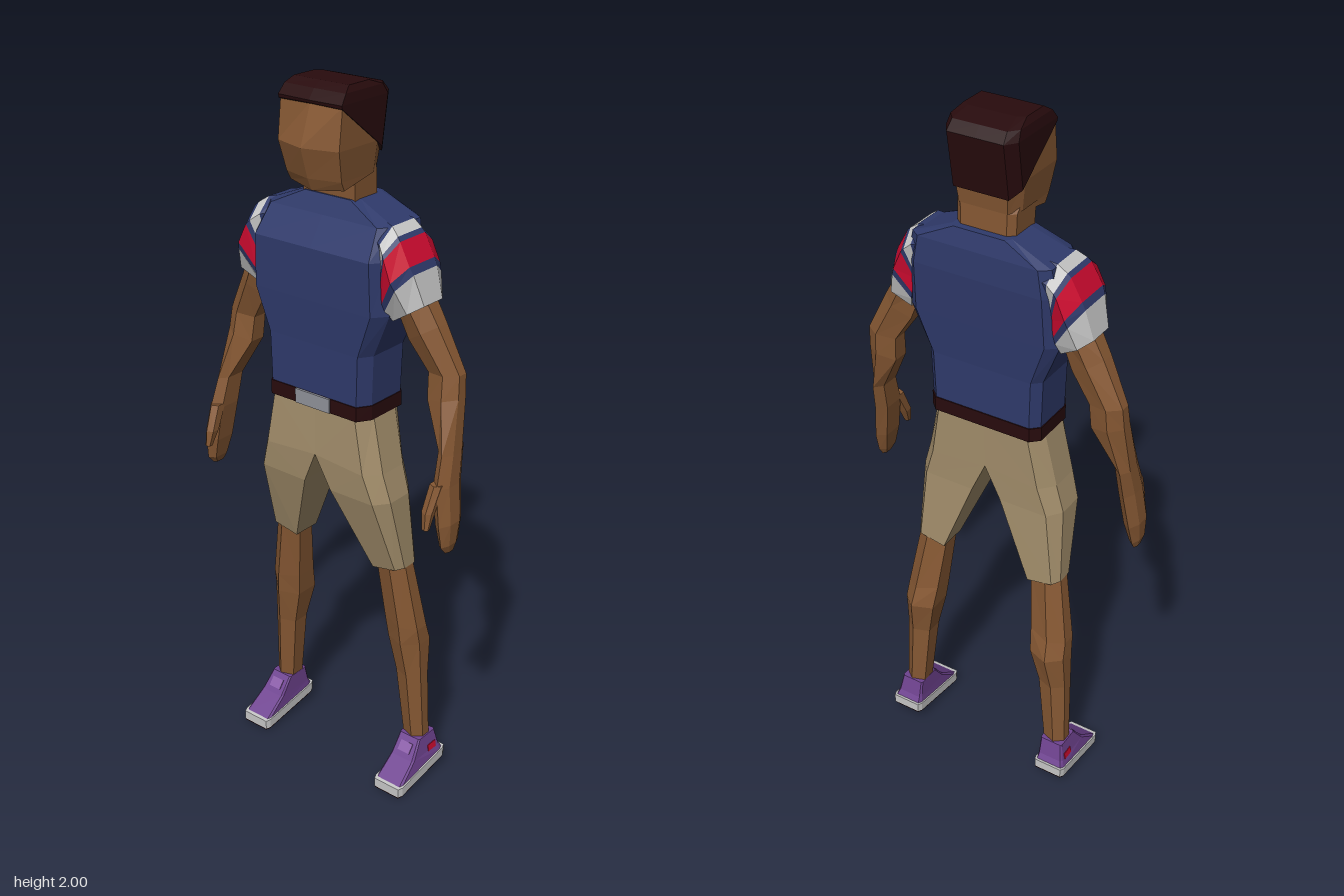
import * as THREE from 'three';

const mat = (name, color) => {
  const m = new THREE.MeshStandardMaterial({ color });
  m.name = name;
  return m;
};

// Ring outlines in (u, v): u runs inner -1 to outer +1, v runs back -1 to front +1
const mirrorU = (half) => [...half, ...half.slice(1, -1).reverse().map(([u, v]) => [-u, v])];
const mirrorV = (half) => [...half, ...half.slice().reverse().map(([u, v]) => [u, -v])];
const TORSO = mirrorU([[0, 1], [0.86, 1], [1, 0.6], [1, -0.75], [0.86, -1], [0, -1]]);
const FACE = mirrorU([[0, 1], [1, 0.74], [1, -0.6], [0.78, -1], [0, -1]]);
const SKULL = mirrorU([[0, 1], [1, 0.97], [1, -0.7], [0.78, -1], [0, -1]]);
const LIMB = mirrorV([[1, 0.4], [0.2, 1], [-1, 0.6]]);
const THIGH = mirrorV([[1, 0.5], [0.65, 1], [-1, 0.95]]);
const SLEEVE = mirrorV([[1, 0.5], [0.35, 1], [-1, 0.8]]);
const SHOE = mirrorV([[1, 0.88], [0.88, 1], [-0.88, 1], [-1, 0.88]]);

// Ring between an outer and an inner point, spanning front to back in z
function ring(shape, [xo, yo, xi, yi, f, b, tilt = 0], side = 1) {
  return shape.map(([u, v]) => {
    const t = (u + 1) / 2;
    const z = (f + b) / 2 + (v * (f - b)) / 2;
    return new THREE.Vector3(side * (xi + (xo - xi) * t), yi + (yo - yi) * t + tilt * z, z);
  });
}
// Ring centred on x = 0
const level = (shape, [y, w, f, b, tilt = 0]) => ring(shape, [w, y, -w, y, f, b, tilt]);

// Faceted closed skin through rings; an array of materials colours one band each
function loft(name, material, rings) {
  const bands = [];
  const n = rings[0].length;
  const cap = (r, flip) => {
    const c = r.reduce((a, p) => a.add(p), new THREE.Vector3()).divideScalar(n);
    return r.flatMap((p, i) => (flip ? [c, r[(i + 1) % n], p] : [c, p, r[(i + 1) % n]]));
  };
  for (let k = 0; k < rings.length - 1; k++) {
    const a = rings[k], b = rings[k + 1], tris = [];
    for (let i = 0; i < n; i++) {
      const j = (i + 1) % n;
      tris.push(a[i], a[j], b[j], a[i], b[j], b[i]);
    }
    if (k === 0) tris.push(...cap(a, true));
    if (k === rings.length - 2) tris.push(...cap(b, false));
    bands.push(tris);
  }
  const all = bands.flat();
  let volume = 0;
  for (let i = 0; i < all.length; i += 3) {
    volume += all[i].dot(new THREE.Vector3().crossVectors(all[i + 1], all[i + 2]));
  }
  if (volume < 0) {
    for (let i = 0; i < all.length; i += 3) [all[i + 1], all[i + 2]] = [all[i + 2], all[i + 1]];
  }
  const geo = new THREE.BufferGeometry().setFromPoints(all);
  geo.computeVertexNormals();
  if (Array.isArray(material)) {
    let start = 0;
    bands.forEach((t, k) => {
      geo.addGroup(start, t.length, k);
      start += t.length;
    });
  }
  const mesh = new THREE.Mesh(geo, material);
  mesh.name = name;
  return mesh;
}

function plate(name, material, size, pos, rot = [0, 0, 0]) {
  const mesh = new THREE.Mesh(new THREE.BoxGeometry(...size), material);
  mesh.name = name;
  mesh.position.set(...pos);
  mesh.rotation.set(...rot);
  return mesh;
}

export function createModel() {
  const model = new THREE.Group();
  model.name = 'man';
  const skin = mat('skin brown', 0x865833);
  const dark = mat('dark brown', 0x280b0d);
  const blue = mat('shirt blue', 0x2f3a6b);
  const red = mat('stripe red', 0xcc0a2f);
  const white = mat('off white', 0xc6c6c6);
  const khaki = mat('khaki', 0xa48f6c);
  const purple = mat('shoe purple', 0x6f4390);
  const lilac = mat('lace lilac', 0x8a5ca8);
  const grey = mat('buckle grey', 0x90929a);

  // Head with neck, chin and a pointed face
  model.add(loft('head', skin, [
    level(SKULL, [1.68, 0.083, 0.03, -0.072]),
    level(SKULL, [1.768, 0.085, 0.035, -0.07]),
    level(FACE, [1.776, 0.086, 0.097, -0.07, -0.4]),
    level(FACE, [1.77, 0.088, 0.112, -0.072]),
    level(FACE, [1.85, 0.097, 0.137, -0.083]),
    level(SKULL, [1.955, 0.097, 0.099, -0.095]),
  ]));

  // Hair, low at the nape and high at the forehead
  model.add(loft('hair', dark, [
    level(SKULL, [1.875, 0.1, 0.103, -0.082, 0.76]),
    level(SKULL, [1.96, 0.1, 0.105, -0.106]),
    level(SKULL, [1.985, 0.096, 0.085, -0.085]),
    level(SKULL, [2.0, 0.086, 0.06, -0.03]),
  ]));

  // Shirt body
  model.add(loft('shirt', blue, [
    [1.18, 0.165, 0.095, -0.084],
    [1.33, 0.17, 0.096, -0.086],
    [1.45, 0.22, 0.101, -0.096],
    [1.59, 0.215, 0.104, -0.106],
    [1.665, 0.2, 0.056, -0.104],
    [1.712, 0.085, 0.036, -0.092],
  ].map((r) => level(TORSO, r))));

  // Belt and buckle
  model.add(loft('belt', dark, [
    level(TORSO, [1.152, 0.168, 0.098, -0.087]),
    level(TORSO, [1.192, 0.168, 0.098, -0.087]),
  ]));
  model.add(plate('buckle', grey, [0.115, 0.04, 0.006], [0, 1.172, 0.099]));

  for (const side of [1, -1]) {
    const label = side > 0 ? 'left' : 'right';
    const add = (name, material, shape, rows) =>
      model.add(loft(label + name, material, rows.map((r) => ring(shape, r, side))));

    // Sleeve with stripes
    add('Sleeve', [blue, white, blue, red, blue, white], SLEEVE, [
      [0.17, 1.675, 0.165, 1.56, 0.06, -0.1],
      [0.2, 1.67, 0.185, 1.555, 0.075, -0.102],
      [0.226, 1.652, 0.195, 1.54, 0.09, -0.104],
      [0.236, 1.642, 0.2, 1.53, 0.096, -0.105],
      [0.268, 1.585, 0.208, 1.485, 0.1, -0.106],
      [0.277, 1.565, 0.212, 1.465, 0.092, -0.102],
      [0.3, 1.485, 0.222, 1.435, 0.065, -0.085],
    ]);

    // Arm down to the fingertips, and the thumb
    add('Arm', skin, LIMB, [
      [0.27, 1.53, 0.205, 1.47, 0.045, -0.07],
      [0.325, 1.43, 0.242, 1.38, 0.03, -0.066],
      [0.385, 1.31, 0.295, 1.3, 0.01, -0.063],
      [0.39, 1.25, 0.3, 1.23, 0.02, -0.06],
      [0.402, 1.11, 0.362, 1.115, 0.055, -0.04],
      [0.41, 1.03, 0.367, 1.03, 0.082, -0.025],
      [0.424, 0.93, 0.382, 0.925, 0.088, -0.012],
      [0.422, 0.87, 0.395, 0.865, 0.08, 0.005],
      [0.416, 0.845, 0.402, 0.845, 0.06, 0.02],
    ]);
    add('Thumb', skin, LIMB, [
      [0.4, 1.04, 0.367, 1.04, 0.085, 0.04],
      [0.394, 0.97, 0.364, 0.97, 0.112, 0.075],
      [0.39, 0.925, 0.372, 0.925, 0.116, 0.098],
    ]);

    // Trouser leg from hip to knee
    add('TrouserLeg', khaki, THIGH, [
      [0.165, 1.16, 0, 1.16, 0.094, -0.083],
      [0.2, 1.0, 0, 1.012, 0.096, -0.076],
      [0.222, 0.92, 0.045, 0.915, 0.086, -0.072],
      [0.232, 0.7, 0.138, 0.68, 0.014, -0.077],
    ]);

    // Lower leg
    add('LowerLeg', skin, LIMB, [
      [0.229, 0.71, 0.14, 0.69, 0.012, -0.074],
      [0.264, 0.5, 0.158, 0.52, 0.0, -0.105],
      [0.267, 0.45, 0.166, 0.45, -0.004, -0.124],
      [0.27, 0.34, 0.19, 0.34, -0.02, -0.104],
      [0.277, 0.12, 0.213, 0.12, -0.035, -0.104],
    ]);

    // Shoe: upper, pale sole edge, dark tread, side and lace patches
    add('ShoeUpper', purple, SHOE, [
      [0.297, 0.042, 0.208, 0.042, 0.076, -0.129, -0.15],
      [0.29, 0.08, 0.21, 0.08, 0.008, -0.119],
      [0.281, 0.132, 0.211, 0.132, -0.033, -0.107],
    ]);
    add('ShoeSole', white, SHOE, [
      [0.301, 0.0165, 0.204, 0.0165, 0.083, -0.136, -0.15],
      [0.301, 0.044, 0.204, 0.044, 0.083, -0.136, -0.15],
    ]);
    add('ShoeTread', dark, SHOE, [
      [0.3, 0.0125, 0.205, 0.0125, 0.082, -0.135, -0.15],
      [0.3, 0.0165, 0.205, 0.0165, 0.082, -0.135, -0.15],
    ]);
    model.add(plate(label + 'ShoePatch', red, [0.006, 0.02, 0.035],
      [side * 0.288, 0.088, -0.083], [0, 0, side * 0.17]));
    model.add(plate(label + 'ShoeLaces', lilac, [0.04, 0.03, 0.006],
      [side * 0.248, 0.105, -0.012], [-0.67, 0, 0]));
  }
  return model;
}
